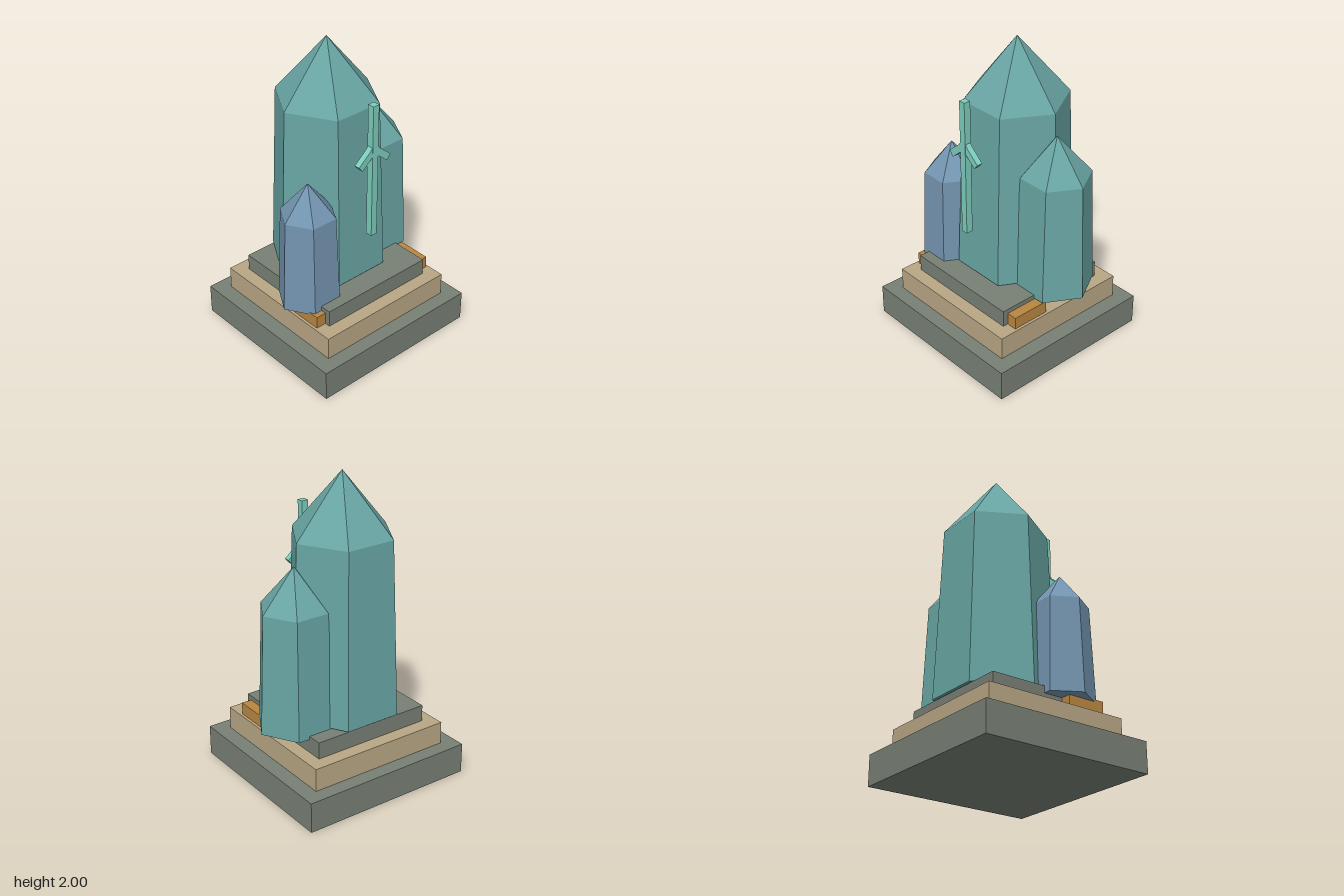
import * as THREE from 'three';

export function createModel() {
  const model = new THREE.Group();
  model.name = 'crystalShrine';

  const mat = (name, color) => {
    const m = new THREE.MeshStandardMaterial({ color });
    m.name = name;
    return m;
  };
  const stone = mat('stone', 0x788075);
  const sand = mat('sandstone', 0xb9a785);
  const ochre = mat('ochre', 0xb98641);
  const teal = mat('tealCrystal', 0x68a5a3);
  const blue = mat('blueCrystal', 0x7394b0);
  const mint = mat('mintRune', 0x7dcdbc);

  const add = (parent, name, geometry, material, x, y, z) => {
    const mesh = new THREE.Mesh(geometry, material);
    mesh.name = name;
    mesh.position.set(x, y, z);
    parent.add(mesh);
    return mesh;
  };
  const box = (parent, name, material, w, h, d, x, y, z) =>
    add(parent, name, new THREE.BoxGeometry(w, h, d), material, x, y, z);

  const cx = -0.01; // symmetry line of the plinth and the rune

  // Stepped plinth
  box(model, 'baseSlab', stone, 1.18, 0.2, 1.154, cx, 0.1, 0);
  box(model, 'middleStep', sand, 0.976, 0.15, 0.966, cx, 0.275, 0);
  box(model, 'topStep', stone, 0.804, 0.11, 0.788, cx, 0.405, 0);

  // Ochre blocks set against both sides of the top step
  for (const s of [-1, 1]) {
    box(model, s < 0 ? 'rightBlock' : 'leftBlock', ochre, 0.12, 0.08, 0.255, cx + s * 0.41, 0.39, 0.23);
  }

  // Six-sided crystal: flared foot, shoulder and pointed tip, with hard facets
  const crystal = (name, material, x, z, foot, shoulder, tip, footR, shoulderR) => {
    const profile = [[0, foot], [footR, foot], [shoulderR, shoulder], [0, tip]]
      .map(([r, y]) => new THREE.Vector2(r, y));
    const geometry = new THREE.LatheGeometry(profile, 6, Math.PI / 6).toNonIndexed();
    geometry.computeVertexNormals();
    add(model, name, geometry, material, x, 0, z);
  };
  crystal('mainCrystal', teal, cx, -0.078, 0.467, 1.61, 2, 0.376, 0.33);
  crystal('leftCrystal', teal, 0.341, -0.078, 0.44, 1.215, 1.477, 0.253, 0.222);
  crystal('rightCrystal', blue, -0.361, 0.148, 0.416, 1.03, 1.24, 0.202, 0.177);

  // Rune floating before the main crystal: upright bar with two drooping arms
  const rune = new THREE.Group();
  rune.name = 'rune';
  rune.position.set(cx, 0, 0.328);
  model.add(rune);
  box(rune, 'runeBar', mint, 0.045, 0.89, 0.045, 0, 1.265, 0);
  for (const s of [-1, 1]) {
    const arm = box(rune, s < 0 ? 'runeRightArm' : 'runeLeftArm', mint, 0.175, 0.045, 0.038, s * 0.045, 1.382, 0);
    arm.rotation.z = -s * 0.7;
  }

  return model;
}
